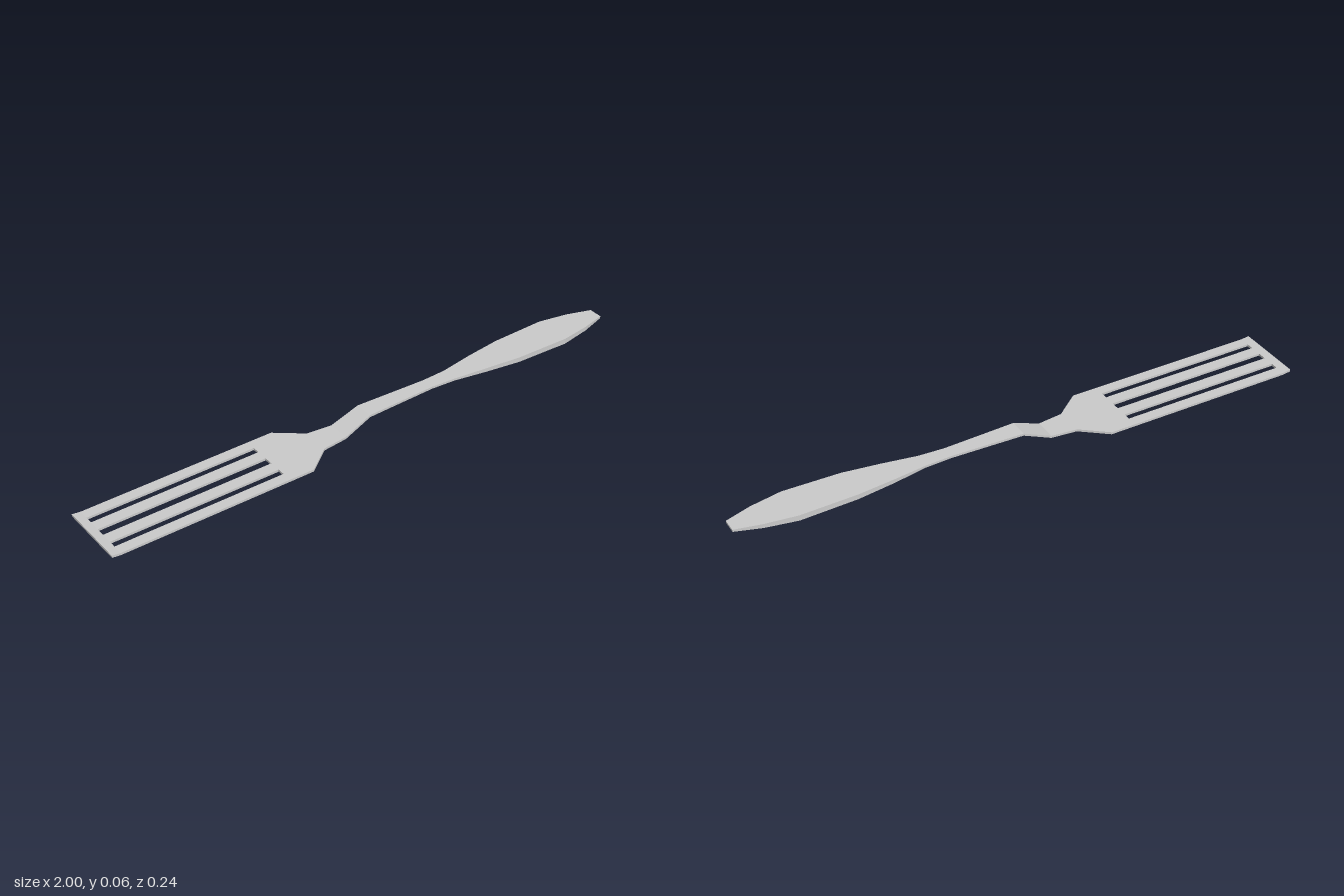
import * as THREE from 'three';

const material = new THREE.MeshStandardMaterial({ color: 0xcccccc, flatShading: true });

// Closed loft of rectangular sections along x: [x, centreZ, halfWidth, bottomY, topY]
function loft(name, sections) {
  const positions = [];
  const index = [];
  for (const [x, z, w, y0, y1] of sections) {
    positions.push(x, y0, z - w, x, y0, z + w, x, y1, z + w, x, y1, z - w);
  }
  const quad = (a, b, c, d) => index.push(a, b, c, a, c, d);
  const last = (sections.length - 1) * 4;
  for (let i = 0; i < last; i += 4) {
    for (let k = 0; k < 4; k++) {
      const n = (k + 1) % 4;
      quad(i + k, i + 4 + k, i + 4 + n, i + n);
    }
  }
  quad(0, 1, 2, 3);
  quad(last + 3, last + 2, last + 1, last);
  const indexed = new THREE.BufferGeometry();
  indexed.setAttribute('position', new THREE.Float32BufferAttribute(positions, 3));
  indexed.setIndex(index);
  const geometry = indexed.toNonIndexed();
  geometry.computeVertexNormals();
  const mesh = new THREE.Mesh(geometry, material);
  mesh.name = name;
  return mesh;
}

export function createModel() {
  const group = new THREE.Group();
  group.name = 'slottedSpatula';
  const bottom = 0.001, top = 0.009;

  // Upturned leading edge
  group.add(loft('bladeEdge', [
    [-1, 0, 0.121, 0.005, 0.013],
    [-0.97, 0, 0.121, bottom, top],
  ]));

  // Four bars leave three long slots between them
  const bars = [[0.084, 0.121], [0.016, 0.057]];
  for (const side of [-1, 1]) {
    for (const [inner, outer] of bars) {
      const z = side * (inner + outer) / 2;
      const w = (outer - inner) / 2;
      group.add(loft('bladeBar', [
        [-0.97, z, w, bottom, top],
        [-0.37, z, w, bottom, top],
      ]));
    }
  }

  // Blade root and shoulders
  group.add(loft('bladeRoot', [
    [-0.37, 0, 0.121, bottom, top],
    [-0.28, 0, 0.121, bottom, top],
    [-0.19, 0, 0.05, bottom, top],
  ]));

  // Cranked neck, slim shaft and swelling grip
  group.add(loft('neckAndHandle', [
    [-0.19, 0, 0.05, bottom, top],
    [-0.1, 0, 0.04, bottom, top],
    [0, 0.001, 0.034, 0.042, 0.05],
    [0.1, 0.001, 0.03, 0.042, 0.05],
    [0.26, 0.001, 0.024, 0.042, 0.05],
    [0.35, 0.002, 0.029, 0.042, 0.05],
    [0.47, 0.002, 0.047, 0.039, 0.053],
    [0.6, 0.003, 0.063, 0.037, 0.055],
    [0.8, 0.003, 0.068, 0.036, 0.056],
    [0.91, 0.003, 0.05, 0.039, 0.054],
    [1, 0.003, 0.025, 0.043, 0.051],
  ]));
  return group;
}
